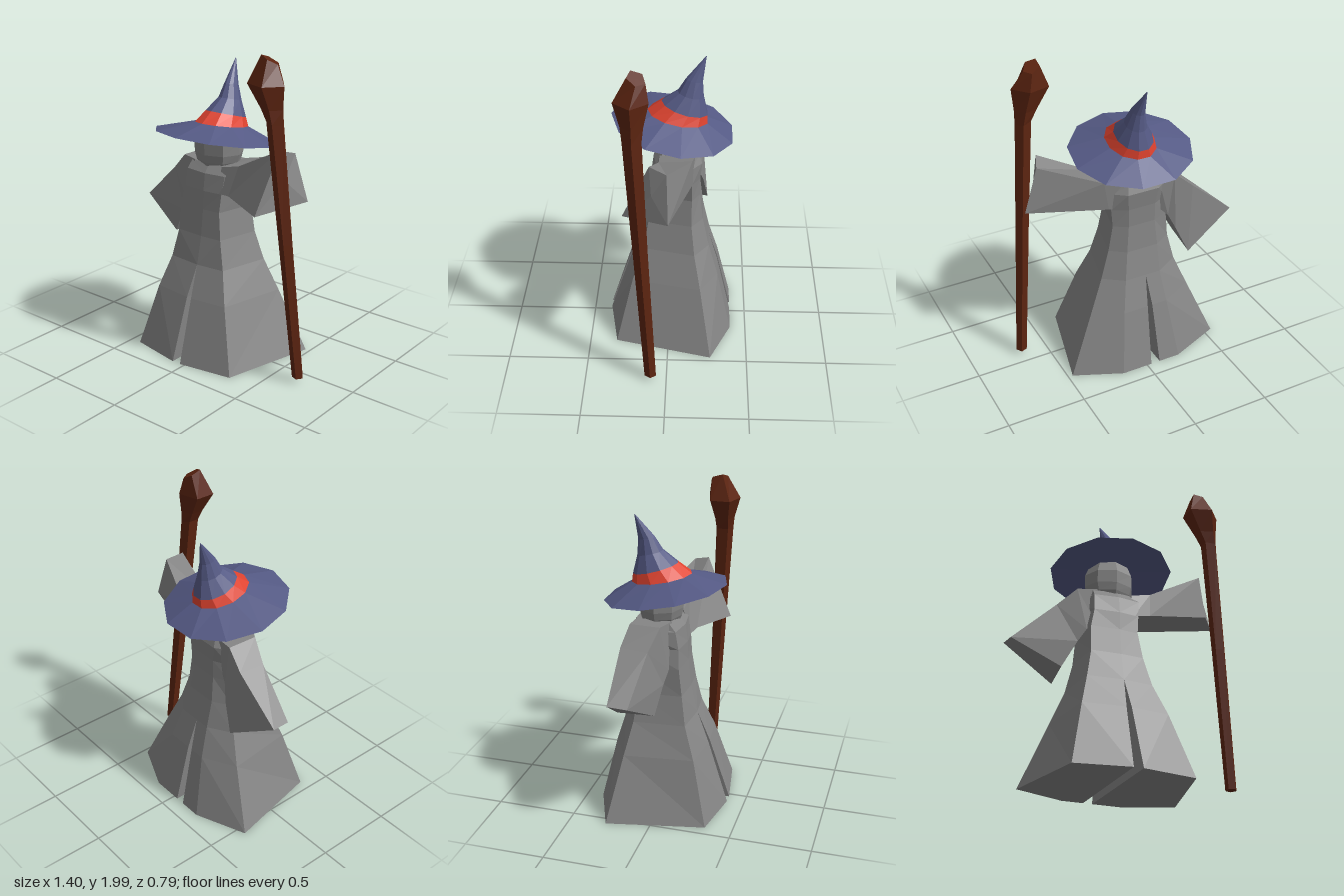
import * as THREE from 'three';

const mat = (name, color) => {
  const m = new THREE.MeshStandardMaterial({ color, flatShading: true });
  m.name = name;
  return m;
};

// Skin a stack of equal-length cross-sections, facing outwards
function loft(name, rings, material, capStart = true, capEnd = true) {
  const tris = [];
  const n = rings[0].length;
  const v = rings.map(r => r.map(p => new THREE.Vector3(...p)));
  for (let i = 0; i < v.length - 1; i++) {
    for (let j = 0; j < n; j++) {
      const k = (j + 1) % n;
      tris.push([v[i][j], v[i][k], v[i + 1][k]], [v[i][j], v[i + 1][k], v[i + 1][j]]);
    }
  }
  const middle = ring => ring.reduce((s, p) => s.add(p), new THREE.Vector3()).divideScalar(n);
  const cap = (ring, flip) => {
    const c = middle(ring);
    ring.forEach((p, j) => {
      const q = ring[(j + 1) % n];
      tris.push(flip ? [c, q, p] : [c, p, q]);
    });
  };
  if (capStart) cap(v[0], true);
  if (capEnd) cap(v[v.length - 1], false);

  // Turn the corner order round if the enclosed volume is negative
  const c = middle(v.map(middle).concat(Array(Math.max(0, n - v.length)).fill(middle(v[0]))).slice(0, n));
  let volume = 0;
  for (const [a, b, d] of tris) {
    volume += a.clone().sub(c).dot(b.clone().sub(c).cross(d.clone().sub(c)));
  }
  const pos = tris.flatMap(([a, b, d]) => (volume < 0 ? [a, d, b] : [a, b, d]).flatMap(p => p.toArray()));
  const g = new THREE.BufferGeometry();
  g.setAttribute('position', new THREE.Float32BufferAttribute(pos, 3));
  g.computeVertexNormals();
  const mesh = new THREE.Mesh(g, material);
  mesh.name = name;
  return mesh;
}

// Elliptical section that can lean along z and x
function oval(n, x, y, z, rx, rz, leanZ = 0, leanX = 0, turn = 0) {
  return Array.from({ length: n }, (_, i) => {
    const a = (i / n) * Math.PI * 2 + turn;
    const dx = Math.sin(a) * rx, dz = Math.cos(a) * rz;
    return [x + dx, y + dz * leanZ + dx * leanX, z + dz];
  });
}

export function createModel() {
  const model = new THREE.Group();
  model.name = 'wizard';
  const grey = mat('grey cloth', 0x858585);
  const blue = mat('blue felt', 0x555a85);
  const red = mat('red band', 0xe0432f);
  const brown = mat('brown wood', 0x5c2410);

  // Robe: y, then per half [slit, front corner, side, back corner] in x,
  // then [front, front corner, side, back] in z
  const levels = [
    [0, [-0.03, 0.32, 0.47, 0.17], [-0.09, -0.43, -0.555, -0.23], [0.39, 0.33, -0.27, -0.4]],
    [0.4, [-0.045, 0.2, 0.295, 0.12], [-0.078, -0.34, -0.39, -0.18], [0.26, 0.23, -0.2, -0.31]],
    [0.6, [-0.06, 0.13, 0.205, 0.08], [-0.06, -0.285, -0.31, -0.16], [0.18, 0.16, -0.16, -0.25]],
    [0.78, [-0.06, 0.085, 0.145, 0.05], [-0.06, -0.25, -0.27, -0.16], [0.14, 0.13, -0.14, -0.21]],
    [0.95, [-0.06, 0.06, 0.115, 0.03], [-0.06, -0.245, -0.255, -0.15], [0.12, 0.11, -0.14, -0.19]],
    [1.07, [-0.06, 0.07, 0.125, 0.03], [-0.06, -0.22, -0.245, -0.15], [0.115, 0.1, -0.14, -0.19]],
    [1.18, [-0.06, 0.08, 0.13, 0.04], [-0.06, -0.215, -0.27, -0.17], [0.1, 0.08, -0.13, -0.2]],
    [1.23, [-0.06, 0.07, 0.1, 0.03], [-0.06, -0.21, -0.24, -0.16], [0.06, 0.04, -0.13, -0.18]],
  ];
  for (const [side, name] of [[1, 'robeLeftHalf'], [2, 'robeRightHalf']]) {
    const rings = levels.map(l => {
      const [slit, corner, out, back] = l[side], [zf, zc, zs, zb] = l[3], y = l[0];
      return [[slit, y, zf], [corner, y, zc], [out, y, zs], [back, y, zb], [slit, y, zb]];
    });
    model.add(loft(name, rings, grey));
  }

  // Wide sleeves: top front, top back, bottom back, bottom front
  model.add(loft('rightSleeve', [
    [[-0.18, 1.235, 0.05], [-0.18, 1.235, -0.17], [-0.2, 1.0, -0.16], [-0.2, 1.0, 0.06]],
    [[-0.3, 1.235, 0.01], [-0.29, 1.235, -0.18], [-0.25, 0.95, -0.18], [-0.25, 0.95, 0.05]],
    [[-0.42, 1.12, -0.03], [-0.41, 1.13, -0.2], [-0.29, 0.86, -0.21], [-0.3, 0.87, 0.03]],
    [[-0.69, 0.87, -0.07], [-0.7, 0.88, -0.19], [-0.37, 0.68, -0.24], [-0.39, 0.7, 0.0]],
  ], grey));
  model.add(loft('leftSleeve', [
    [[0.04, 1.23, 0.06], [0.04, 1.235, -0.16], [0.04, 1.07, -0.16], [0.04, 1.07, 0.1]],
    [[0.17, 1.26, 0.06], [0.17, 1.27, -0.14], [0.14, 1.08, -0.14], [0.14, 1.08, 0.12]],
    [[0.5, 1.43, 0.1], [0.54, 1.4, 0.0], [0.63, 1.12, -0.01], [0.45, 1.06, 0.265]],
  ], grey));

  // Head with a tapering jaw
  model.add(loft('head', [
    oval(8, -0.07, 1.17, -0.05, 0.1, 0.1),
    oval(8, -0.07, 1.24, -0.05, 0.145, 0.13),
    oval(8, -0.07, 1.29, -0.05, 0.16, 0.14),
    oval(8, -0.07, 1.37, -0.05, 0.16, 0.145),
    oval(8, -0.07, 1.44, -0.05, 0.13, 0.12),
  ], grey));

  // Hat: drooping brim, band and backward-leaning cone
  const hat = new THREE.Group();
  hat.name = 'hat';
  const bandLow = oval(11, -0.05, 1.465, -0.05, 0.15, 0.185, 0.2);
  const bandHigh = oval(11, -0.05, 1.52, -0.09, 0.115, 0.14, 0.3);
  const rim = oval(11, -0.07, 1.39, -0.02, 0.387, 0.375, 0.18, -0.02);
  const inside = oval(11, -0.06, 1.42, -0.05, 0.14, 0.15, 0.18);
  hat.add(loft('hatBrim', [inside, rim, bandLow], blue));
  hat.add(loft('hatBand', [bandLow, bandHigh], red, false, false));
  hat.add(loft('hatCone', [
    bandHigh,
    oval(11, -0.045, 1.61, -0.125, 0.066, 0.08, 0.25),
    oval(11, -0.05, 1.7, -0.145, 0.038, 0.052, 0.15),
    oval(11, -0.07, 1.845, -0.213, 0.002, 0.002),
  ], blue, false));
  model.add(hat);

  // Staff with a faceted knob
  const staff = new THREE.Group();
  staff.name = 'staff';
  const neck = oval(5, 0.535, 1.62, 0.19, 0.05, 0.058, 0, -0.2, 0.3);
  staff.add(loft('staffShaft', [
    oval(5, 0.667, 0.03, 0.098, 0.035, 0.037, 0, 0, 0.3),
    oval(5, 0.595, 0.9, 0.15, 0.042, 0.046, 0, 0, 0.3),
    neck,
  ], brown, true, false));
  staff.add(loft('staffKnob', [
    neck,
    oval(5, 0.515, 1.7, 0.19, 0.07, 0.068, 0, 0, 0.3),
    oval(5, 0.477, 1.835, 0.195, 0.118, 0.105, 0, 0, 0.3),
    oval(5, 0.475, 1.965, 0.165, 0.05, 0.055, 0.3, -0.45, 0.3),
  ], brown, false));
  model.add(staff);

  return model;
}
